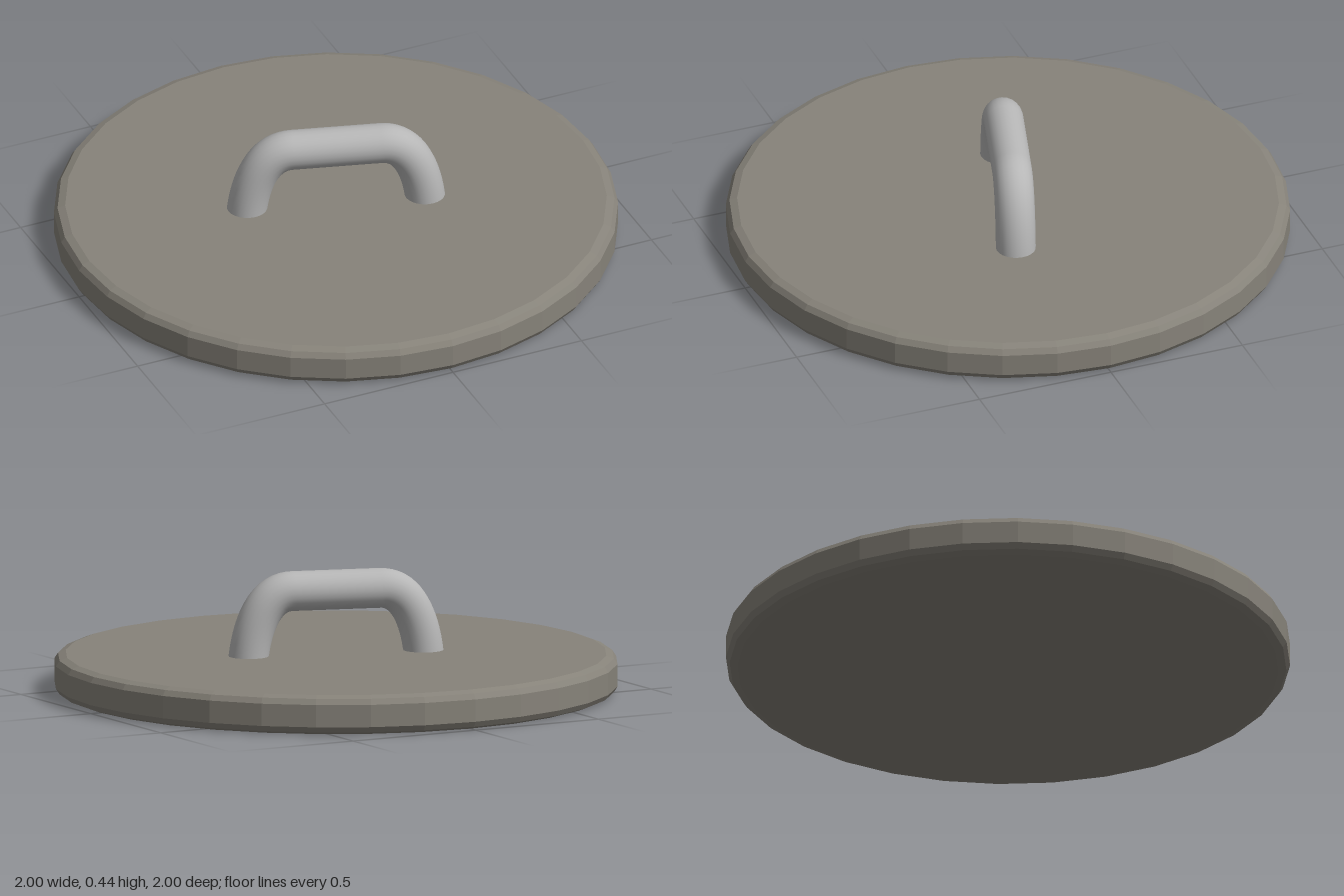
import * as THREE from 'three';

export function createModel() {
  const group = new THREE.Group();
  const stone = new THREE.MeshStandardMaterial({ color: 0x87837a, flatShading: true });
  stone.name = 'warm grey';
  const metal = new THREE.MeshStandardMaterial({ color: 0xb6b6b6 });
  metal.name = 'light grey';

  // Faceted round plate with softened rims
  const profile = [
    [0, 0], [0.96, 0], [0.987, 0.01], [1, 0.03],
    [1, 0.11], [0.987, 0.13], [0.96, 0.14], [0, 0.14],
  ].map(([r, y]) => new THREE.Vector2(r, y));
  const lid = new THREE.Mesh(new THREE.LatheGeometry(profile, 32), stone);
  lid.name = 'lid';
  group.add(lid);

  // Bent bar handle, its feet sunk into the lid
  const v = (x, y) => new THREE.Vector3(x, y, 0);
  const path = new THREE.CurvePath();
  path.add(new THREE.LineCurve3(v(-0.321, 0.1), v(-0.319, 0.13)));
  path.add(new THREE.CubicBezierCurve3(v(-0.319, 0.13), v(-0.305, 0.25), v(-0.26, 0.367), v(-0.16, 0.367)));
  path.add(new THREE.LineCurve3(v(-0.16, 0.367), v(0.16, 0.367)));
  path.add(new THREE.CubicBezierCurve3(v(0.16, 0.367), v(0.26, 0.367), v(0.305, 0.25), v(0.319, 0.13)));
  path.add(new THREE.LineCurve3(v(0.319, 0.13), v(0.321, 0.1)));
  const handle = new THREE.Mesh(new THREE.TubeGeometry(path, 64, 0.071, 24), metal);
  handle.name = 'handle';
  handle.rotation.y = -0.286;
  group.add(handle);

  return group;
}
